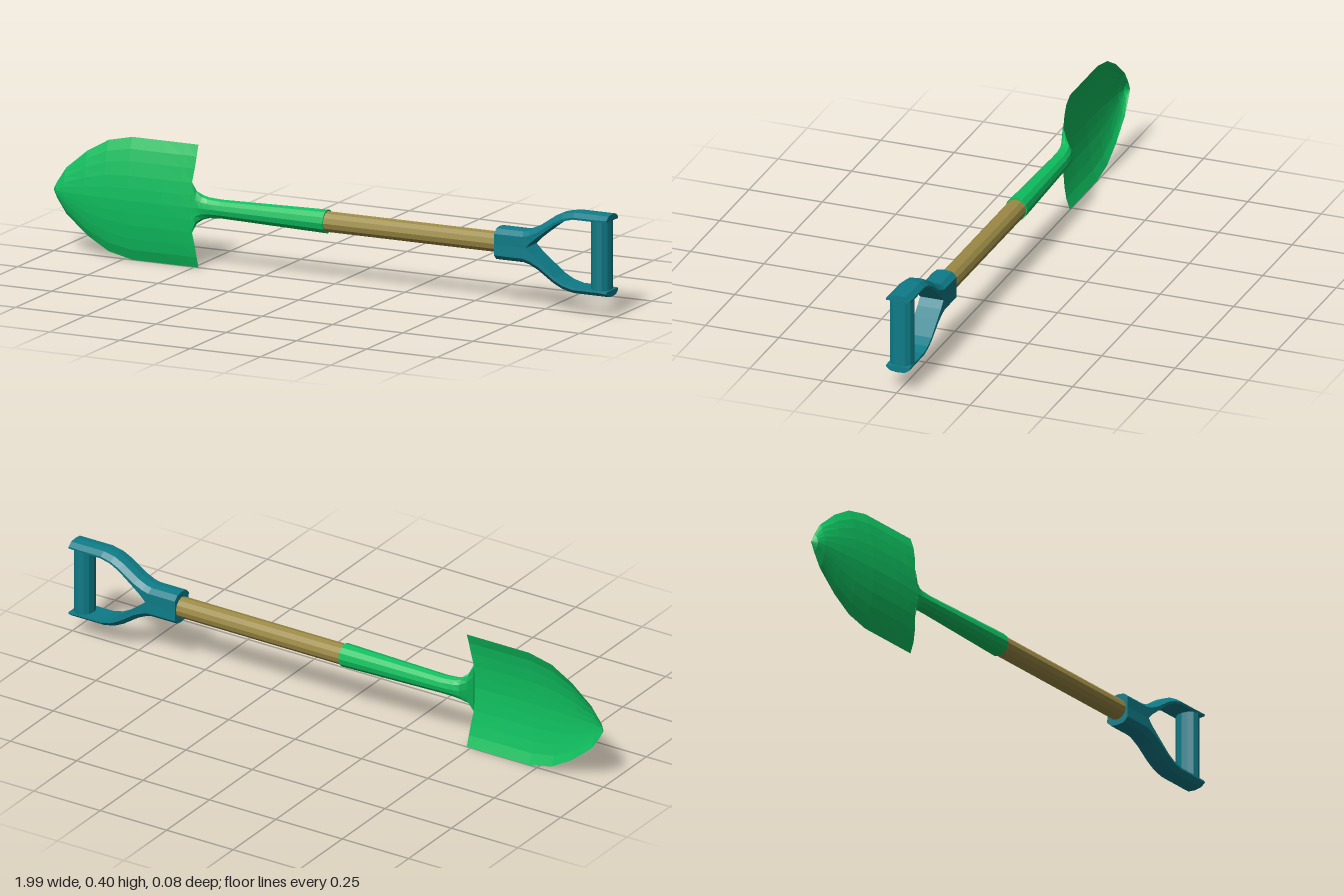
import * as THREE from 'three';

const AXIS_Y = 0.2; // height of the tool's long axis

const paint = (color, side = THREE.FrontSide) =>
  new THREE.MeshStandardMaterial({ color, flatShading: true, side });

// Skins a series of cross-sections; each runs counter-clockwise seen from +x.
function loft(rings, closed = true) {
  const n = rings[0].length;
  const index = [];
  for (let i = 0; i < rings.length - 1; i++) {
    for (let j = 0; j < (closed ? n : n - 1); j++) {
      const k = (j + 1) % n;
      const a = i * n + j, b = i * n + k, c = b + n, d = a + n;
      index.push(a, b, c, a, c, d);
    }
  }
  if (closed) {
    const last = (rings.length - 1) * n;
    for (let j = 1; j < n - 1; j++) {
      index.push(0, j + 1, j, last, last + j, last + j + 1);
    }
  }
  const geo = new THREE.BufferGeometry();
  geo.setAttribute('position', new THREE.Float32BufferAttribute(rings.flat(2), 3));
  geo.setIndex(index);
  geo.computeVertexNormals();
  return geo;
}

export function createModel() {
  const model = new THREE.Group();
  model.name = 'shovel';
  const body = new THREE.Group();
  body.name = 'tool';
  body.position.y = AXIS_Y;
  model.add(body);

  const add = (name, geo, material) => {
    const mesh = new THREE.Mesh(geo, material);
    mesh.name = name;
    body.add(mesh);
    return mesh;
  };

  const green = paint(0x0fbf5f);
  const greenSheet = paint(0x0fbf5f, THREE.DoubleSide);
  const wood = paint(0x9c8a45);
  const teal = paint(0x0e7c88);

  // Dished blade: x, half width, depth of the centre line
  const bladeStations = [
    [-1, 0.001, 0], [-0.985, 0.03, 0.016], [-0.955, 0.075, 0.022],
    [-0.88, 0.138, 0.028], [-0.805, 0.181, 0.032], [-0.72, 0.2, 0.035],
    [-0.6, 0.2, 0.035], [-0.53, 0.2, 0.033], [-0.485, 0.2, 0.031],
  ];
  // Across the blade: position, share of the depth, setback of the rear edge
  const half = [[1, 0, 0], [0.82, 0.4, 0], [0.63, 0.64, 0.003], [0.4, 0.85, 0.01], [0.2, 0.95, 0.003]];
  const across = [
    ...half, [0, 1, 0],
    ...half.map(([t, z, s]) => [-t, z, s]).reverse(),
  ];
  const bladeRings = bladeStations.map(([x, w, depth], i) =>
    across.map(([t, z, setback]) => [
      x - (i === bladeStations.length - 1 ? setback : 0), t * w, z * depth,
    ]));
  add('blade', loft(bladeRings, false), greenSheet);

  // Socket flowing out of the blade: x, half height, front z, back z
  const socketStations = [
    [-0.495, 0.085, 0.031, 0.024], [-0.482, 0.053, 0.03, 0.004],
    [-0.465, 0.04, 0.029, -0.016], [-0.445, 0.034, 0.029, -0.022],
    [-0.4, 0.031, 0.03, -0.027], [-0.025, 0.039, 0.037, -0.037],
  ];
  const socketRings = socketStations.map(([x, ry, front, back]) =>
    Array.from({ length: 12 }, (_, j) => {
      const a = (j / 12) * Math.PI * 2;
      return [x, ry * Math.sin(a), (front + back) / 2 - ((front - back) / 2) * Math.cos(a)];
    }));
  add('socket', loft(socketRings), green);

  // Wooden shaft
  const shaft = new THREE.CylinderGeometry(0.034, 0.034, 0.68, 12).rotateZ(Math.PI / 2);
  add('shaft', shaft, wood).position.x = 0.28;

  // Handle fork, one arm per side, both starting as halves of the cuff:
  // outer x, outer y, inner x, inner y
  const armStations = [
    [0.588, 0.053, 0.588, 0], [0.685, 0.053, 0.698, 0], [0.705, 0.058, 0.72, 0.022],
    [0.735, 0.072, 0.75, 0.046], [0.79, 0.109, 0.802, 0.086], [0.825, 0.126, 0.833, 0.102],
    [0.865, 0.134, 0.868, 0.111], [0.95, 0.134, 0.95, 0.111], [0.988, 0.134, 0.988, 0.113],
  ];
  const armRing = ([ox, oy, ix, iy], sign) => {
    const len = Math.hypot(ox - ix, oy - iy);
    const f = Math.min(0.018, len * 0.7) / len; // chamfer depth
    const sx = ox + (ix - ox) * f, sy = oy + (iy - oy) * f;
    const ring = [
      [ix, iy, -0.04], [sx, sy, -0.041], [ox, oy - 0.003, -0.025], [ox, oy, 0],
      [ox, oy - 0.003, 0.025], [sx, sy, 0.041], [ix, iy, 0.04],
    ].map(([x, y, z]) => [x, y * sign, z]);
    return sign > 0 ? ring : ring.reverse();
  };
  for (const [name, sign] of [['upperHandleArm', 1], ['lowerHandleArm', -1]]) {
    add(name, loft(armStations.map((s) => armRing(s, sign))), teal);
  }

  // Oval crossbar grip
  const grip = new THREE.CylinderGeometry(1, 1, 0.234, 12).scale(0.033, 1, 0.041);
  add('grip', grip, teal).position.x = 0.952;

  return model;
}
